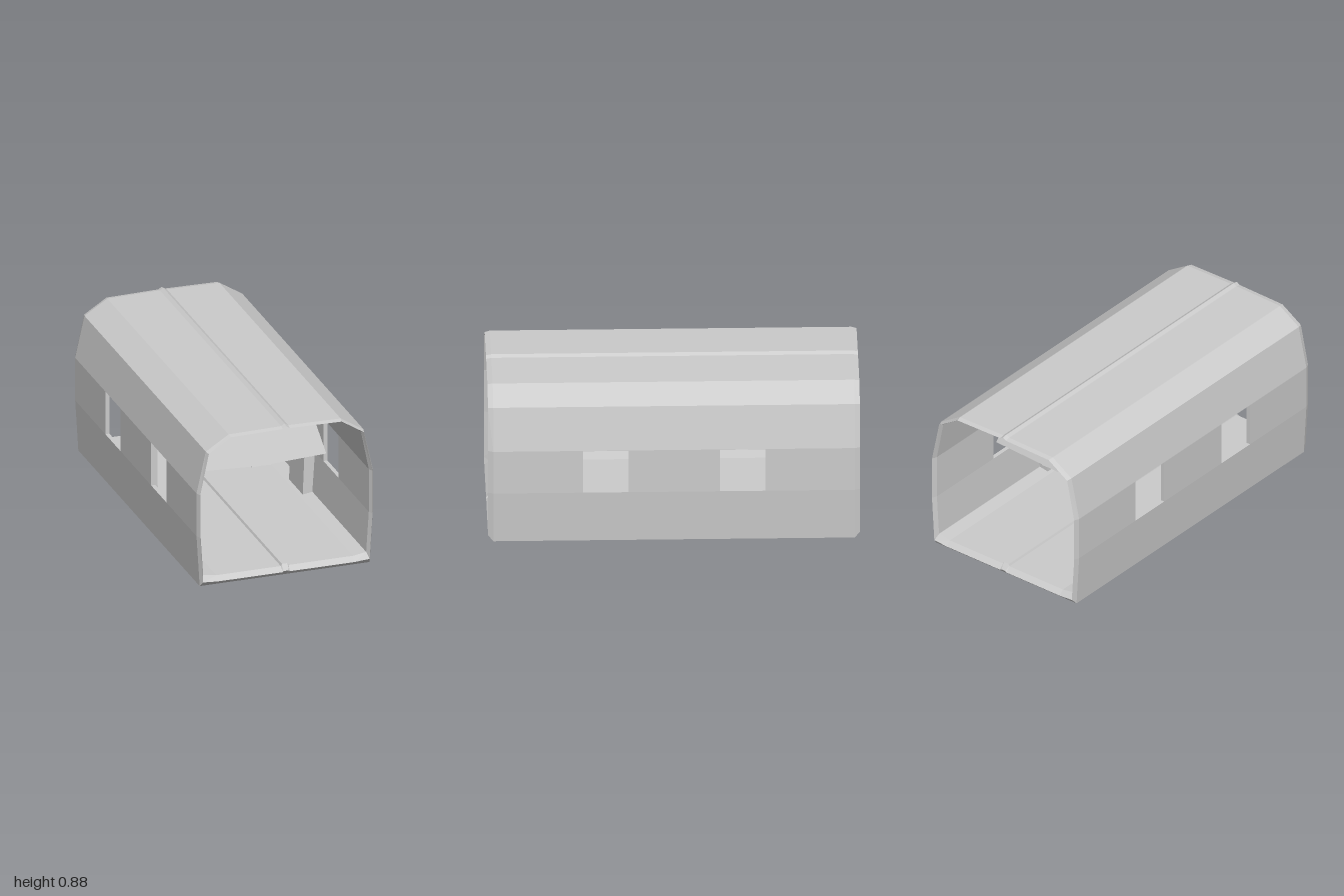
import * as THREE from 'three';

const material = new THREE.MeshStandardMaterial({ color: 0xcccccc, flatShading: true, side: THREE.DoubleSide });

// Triangle soup from quads given as four corners each
function quadMesh(name, quads) {
  const pos = [];
  for (const [a, b, c, d] of quads) pos.push(...a, ...b, ...c, ...a, ...c, ...d);
  const geo = new THREE.BufferGeometry();
  geo.setAttribute('position', new THREE.Float32BufferAttribute(pos, 3));
  geo.computeVertexNormals();
  const mesh = new THREE.Mesh(geo, material);
  mesh.name = name;
  return mesh;
}

// Right half, floor rail to ridge -> closed profile
function mirrored(half) {
  return [...half, ...half.slice(0, -1).reverse().map(([x, y]) => [-x, y])];
}

const outer = mirrored([[0.012, 0], [0.02, 0], [0.39, 0], [0.485, 0], [0.503, 0.295], [0.503, 0.545],
  [0.45, 0.783], [0.32, 0.865], [0.02, 0.87], [0, 0.882]]);
const inner = mirrored([[0.016, 0.062], [0.022, 0.05], [0.39, 0.05], [0.465, 0.062], [0.48, 0.295], [0.48, 0.545],
  [0.435, 0.773], [0.31, 0.853], [0.02, 0.858], [0, 0.87]]);
const rim = outer.map(([x, y], i) => [(x + inner[i][0]) / 2, (y + inner[i][1]) / 2]);

const WINDOW_Z = [0.245, 0.49];
const WINDOW_BANDS = [4, 13]; // profile segments cut by the windows

function hull() {
  const zs = [-0.972, -0.49, -0.245, 0.245, 0.49, 0.972];
  const ring = (profile, z) => ({ z, pts: profile.map(([x, y]) => [x, y, z]) });
  // Outside, front rim, inside, back rim
  const rings = [...zs.map(z => ring(outer, z)), ring(rim, 1),
    ...zs.slice().reverse().map(z => ring(inner, z)), ring(rim, -1)];
  const quads = [];
  rings.forEach((r, k) => {
    const s = rings[(k + 1) % rings.length];
    const mid = Math.abs(r.z + s.z) / 2;
    const atWindow = mid > WINDOW_Z[0] && mid < WINDOW_Z[1];
    r.pts.forEach((p, i) => {
      if (atWindow && WINDOW_BANDS.includes(i)) return;
      const j = (i + 1) % r.pts.length;
      quads.push([p, r.pts[j], s.pts[j], s.pts[i]]);
    });
  });
  return quadMesh('hull', quads);
}

// Thickness of the wall around each opening
function windowReveals() {
  const quads = [];
  for (const band of WINDOW_BANDS) for (const side of [-1, 1]) {
    const at = (profile, i, z) => [...profile[i], z * side];
    const [z0, z1] = WINDOW_Z;
    for (const i of [band, band + 1])
      quads.push([at(outer, i, z0), at(outer, i, z1), at(inner, i, z1), at(inner, i, z0)]);
    for (const z of WINDOW_Z)
      quads.push([at(outer, band, z), at(outer, band + 1, z), at(inner, band + 1, z), at(inner, band, z)]);
  }
  return quadMesh('windowReveals', quads);
}

// Raised post on the inside of the wall, between the windows
function wallPost() {
  const shape = new THREE.Shape([[0.47, 0.05], [0.41, 0.05], [0.42, 0.295], [0.42, 0.54], [0.375, 0.77],
    [0.315, 0.855], [0.442, 0.78], [0.49, 0.545], [0.49, 0.295]].map(p => new THREE.Vector2(...p)));
  const geo = new THREE.ExtrudeGeometry(shape, { depth: 0.22, bevelEnabled: false });
  geo.translate(0, 0, -0.11);
  const mesh = new THREE.Mesh(geo, material);
  mesh.name = 'wallPost';
  return mesh;
}

// Splayed box under one half of the roof, narrow at the neck
function ceilingBox() {
  const level = (x0, y0, x1, y1, z) => [[x0, y0, z], [x1, y1, z], [x1, y1, -z], [x0, y0, -z]];
  const levels = [
    level(-0.37, 0.5, 0.055, 0.48, 0.6),
    level(-0.295, 0.83, -0.022, 0.83, 0.45),
    level(-0.31, 0.855, -0.022, 0.86, 0.5),
  ];
  const quads = [levels[0].slice().reverse(), levels[2]];
  for (let k = 0; k < 2; k++) for (let i = 0; i < 4; i++) {
    const j = (i + 1) % 4;
    quads.push([levels[k][i], levels[k][j], levels[k + 1][j], levels[k + 1][i]]);
  }
  return quadMesh('ceilingBox', quads);
}

export function createModel() {
  const model = new THREE.Group();
  model.name = 'tunnelModule';
  model.add(hull(), windowReveals());
  // Both sides by half a turn
  for (const turn of [0, Math.PI]) {
    const half = new THREE.Group();
    half.name = turn ? 'rightInterior' : 'leftInterior';
    half.add(wallPost(), ceilingBox());
    half.rotation.y = turn;
    model.add(half);
  }
  return model;
}
